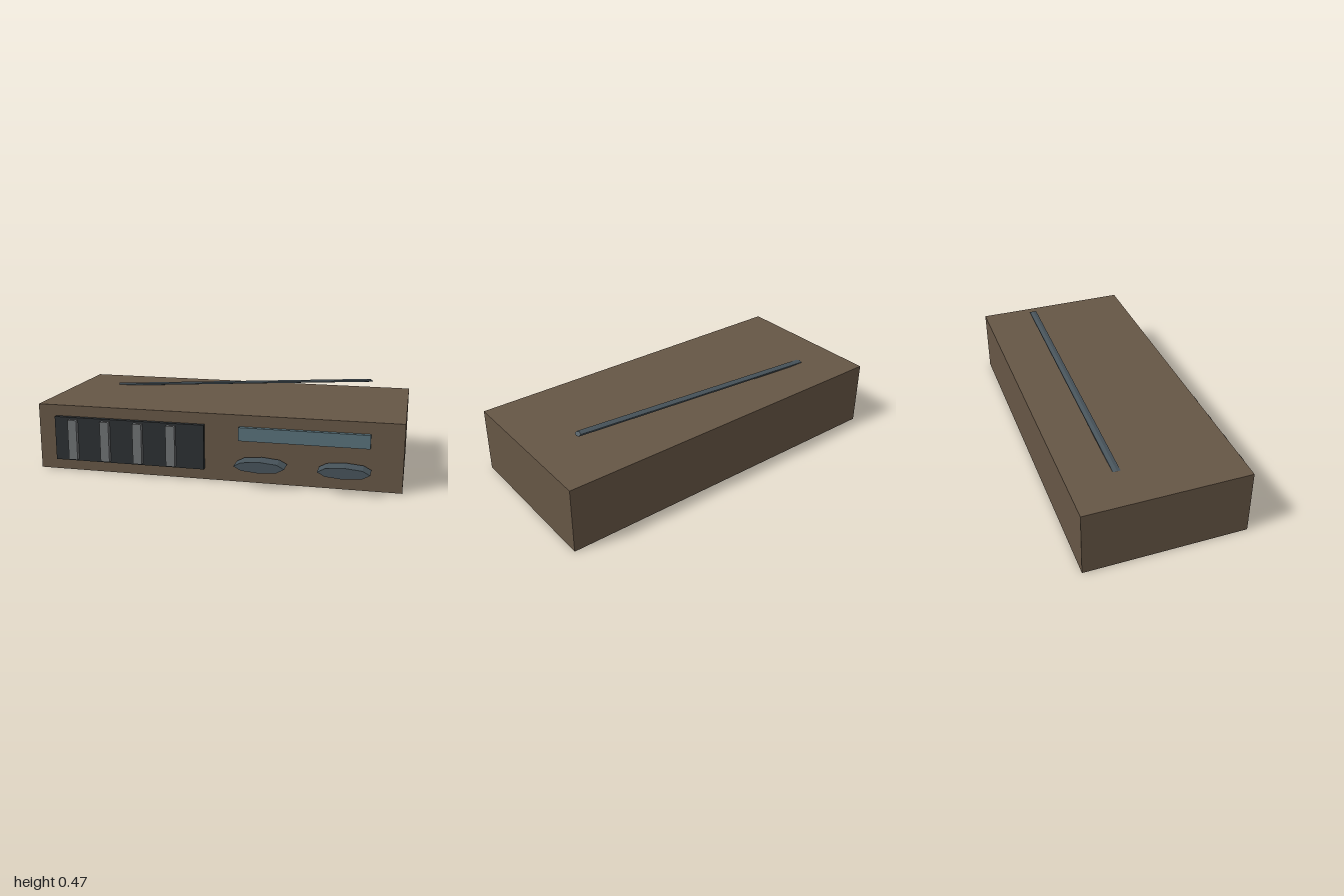
import * as THREE from 'three';

const material = (color) => new THREE.MeshStandardMaterial({ color, flatShading: true });

export function createModel() {
  const model = new THREE.Group();
  const wood = material(0x665645);
  const dark = material(0x2c3032);
  const silver = material(0x6e7173);
  const glass = material(0x587079);
  const metal = material(0x47535a);

  const add = (name, geometry, mat) => {
    const mesh = new THREE.Mesh(geometry, mat);
    mesh.name = name;
    model.add(mesh);
    return mesh;
  };
  // Box given by its limits on each axis
  const box = (name, mat, [x0, x1], [y0, y1], [z0, z1]) =>
    add(name, new THREE.BoxGeometry(x1 - x0, y1 - y0, z1 - z0), mat)
      .position.set((x0 + x1) / 2, (y0 + y1) / 2, (z0 + z1) / 2);

  // Cabinet
  box('cabinet', wood, [-1, 1], [0, 0.367], [-0.5, 0.39]);

  // Speaker grille with four upright bars
  box('speakerGrille', dark, [-0.897, -0.046], [0.061, 0.306], [0.38, 0.415]);
  for (let i = 0; i < 4; i++) {
    const x = -0.786 + i * 0.187;
    box('grilleBar', silver, [x - 0.025, x + 0.025], [0.072, 0.295], [0.41, 0.44]);
  }

  // Tuning dial window
  box('tuningDial', glass, [0.143, 0.831], [0.232, 0.305], [0.38, 0.415]);

  // Flattened eight-sided knobs
  for (const x of [0.27, 0.706]) {
    const knob = new THREE.CylinderGeometry(1, 1, 0.095, 8);
    knob.rotateX(Math.PI / 2).scale(0.134, 0.03, 1);
    add('knob', knob, metal).position.set(x, 0.119, 0.4525);
  }

  // Flattened six-sided antenna, tilted up towards the left end
  const antenna = new THREE.CylinderGeometry(0.023, 0.023, 0.985, 6);
  antenna.rotateY(Math.PI / 6).rotateZ(-Math.atan2(0.949, 0.264)).scale(1.62, 0.36, 1);
  add('antenna', antenna, metal).position.set(0.017, 0.413, -0.234);

  return model;
}
